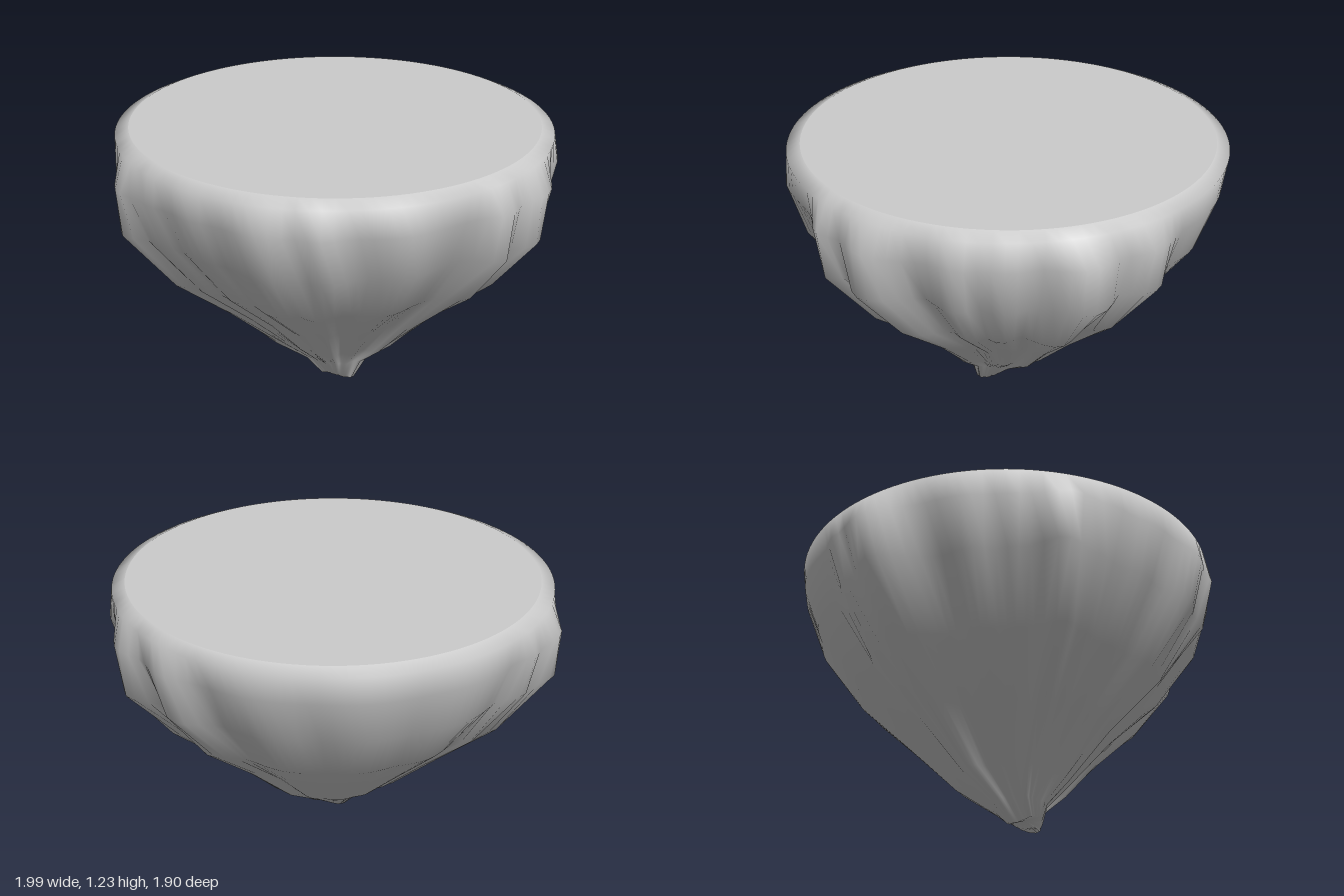
import * as THREE from 'three';

const SEGMENTS = 120;

// Rock levels: height, valley radius, ridge depth, centre x, centre z
const LEVELS = [
  [1.235, 0.885, 0, 0, -0.01],
  [1.21, 0.943, 0, 0, -0.008],
  [1.09, 0.925, 0.07, 0, 0],
  [0.88, 0.835, 0.145, 0, 0],
  [0.62, 0.65, 0.125, 0, 0],
  [0.41, 0.435, 0.085, 0, 0],
  [0.2, 0.235, 0.065, 0.01, 0.01],
  [0.1, 0.125, 0.03, 0.03, 0.03],
  [0.04, 0.075, 0.01, 0.05, 0.06],
];

// Ridges running down the rock: angle from +x towards +z, strength, half width (degrees)
const RIDGES = [
  [-66, 0.75, 6], [-49, 1, 6], [-31, 0.55, 5], [-20, 0.6, 5],
  [3, 1, 7], [18, 0.9, 4], [46, 0.35, 6], [67, 0.5, 4], [80, 0.5, 6],
  [100, 0.25, 5], [115, 0.5, 5], [125, 1, 6], [138, 0.3, 5], [152, 0.3, 6],
  [179, 1, 7], [191, 0.55, 4], [212, 0.25, 9], [240, 0.2, 10], [268, 0.25, 10],
];

function ridgeAt(deg) {
  let height = 0;
  for (const [angle, strength, width] of RIDGES) {
    const d = ((deg - angle + 540) % 360) - 180;
    height = Math.max(height, strength * Math.exp(-(d * d) / (2 * width * width)));
  }
  return height;
}

function ringPoints([y, radius, depth, cx, cz], level) {
  const points = [];
  for (let j = 0; j < SEGMENTS; j++) {
    const deg = (j / SEGMENTS) * 360;
    const a = THREE.MathUtils.degToRad(deg);
    // Ridges meander a little on the way down
    const sway = level > 2 ? 2.5 * Math.sin(level * 1.7 + a * 3) : 0;
    const r = radius + depth * ridgeAt(deg + sway);
    // The lowest ring dips into two small nubs
    const dip = level === LEVELS.length - 1 ? -0.02 - 0.018 * Math.cos(2 * a) : 0;
    points.push(cx + r * Math.cos(a), y + dip, cz + r * Math.sin(a));
  }
  return points;
}

function geometryFrom(positions, index) {
  const geometry = new THREE.BufferGeometry();
  geometry.setAttribute('position', new THREE.Float32BufferAttribute(positions, 3));
  geometry.setIndex(index);
  geometry.computeVertexNormals();
  return geometry;
}

function rockGeometry() {
  const positions = LEVELS.flatMap(ringPoints);
  const index = [];
  const tip = LEVELS.length * SEGMENTS;
  positions.push(0.05, 0.035, 0.065);
  for (let i = 0; i < LEVELS.length; i++) {
    for (let j = 0; j < SEGMENTS; j++) {
      const a = i * SEGMENTS + j;
      const b = i * SEGMENTS + ((j + 1) % SEGMENTS);
      if (i === LEVELS.length - 1) index.push(a, b, tip);
      else index.push(a, b, a + SEGMENTS, b, b + SEGMENTS, a + SEGMENTS);
    }
  }
  return geometryFrom(positions, index);
}

export function createModel() {
  const group = new THREE.Group();
  group.name = 'floatingIsland';
  const material = new THREE.MeshStandardMaterial({ color: 0xcccccc });

  // Tapering, ridged rock body with a bevelled rim
  const rock = new THREE.Mesh(rockGeometry(), material);
  rock.name = 'rockBody';
  group.add(rock);

  // Flat round top
  const [y, radius, , cx, cz] = LEVELS[0];
  const top = new THREE.Mesh(new THREE.CircleGeometry(radius, SEGMENTS), material);
  top.name = 'flatTop';
  top.rotation.x = -Math.PI / 2;
  top.position.set(cx, y, cz);
  group.add(top);

  return group;
}
